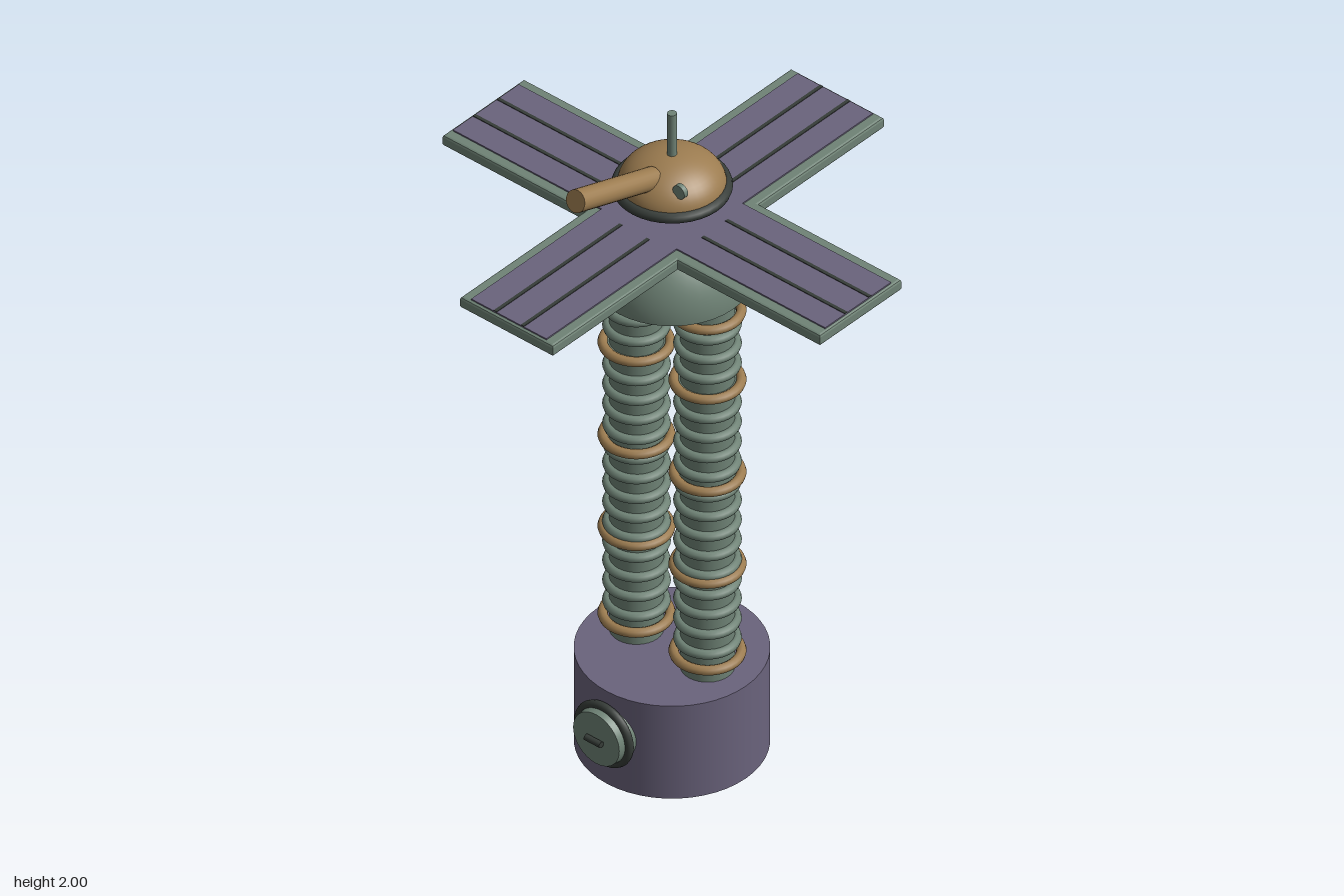
import * as THREE from 'three';

const mat = (name, color) => {
  const m = new THREE.MeshStandardMaterial({ color });
  m.name = name;
  return m;
};

export function createModel() {
  const green = mat('sage green', 0x6f8376);
  const purple = mat('dusty purple', 0x6a637c);
  const gold = mat('bronze', 0x9c7c50);
  const dark = mat('charcoal', 0x363c38);

  const model = new THREE.Group();
  model.name = 'solarTower';

  const add = (name, geo, material, x = 0, y = 0, z = 0, parent = model) => {
    const mesh = new THREE.Mesh(geo, material);
    mesh.name = name;
    mesh.position.set(x, y, z);
    parent.add(mesh);
    return mesh;
  };

  // Cylinder between two points
  const rod = (name, a, b, radius, material, parent = model) => {
    const from = new THREE.Vector3(...a), to = new THREE.Vector3(...b);
    const dir = to.clone().sub(from);
    const mesh = add(name, new THREE.CylinderGeometry(radius, radius, dir.length(), 20), material, 0, 0, 0, parent);
    mesh.position.copy(from).add(to).multiplyScalar(0.5);
    mesh.quaternion.setFromUnitVectors(new THREE.Vector3(0, 1, 0), dir.normalize());
    return mesh;
  };

  const ring = (name, radius, tube, material, x, y, z, parent = model) => {
    const geo = new THREE.TorusGeometry(radius, tube, 10, 36).rotateX(Math.PI / 2);
    return add(name, geo, material, x, y, z, parent);
  };

  // Plus-shaped outline with arm half-length l and half-width w
  const crossShape = (l, w) => new THREE.Shape(
    [[l, -w], [l, w], [w, w], [w, l], [-w, l], [-w, w], [-l, w], [-l, -w], [-w, -w], [-w, -l], [w, -l], [w, -w]]
      .map(([x, y]) => new THREE.Vector2(x, y)));

  // Base drum
  add('base', new THREE.CylinderGeometry(0.25, 0.25, 0.295, 48), purple, 0, 0.1475, 0);

  // Round hatch on the front of the base
  const hatch = new THREE.Group();
  hatch.name = 'hatch';
  hatch.position.set(0, 0.167, 0);
  model.add(hatch);
  add('hatchSeal', new THREE.TorusGeometry(0.085, 0.012, 10, 40), dark, 0, 0, 0.262, hatch);
  add('hatchDoor', new THREE.CylinderGeometry(0.078, 0.085, 0.06, 40).rotateX(Math.PI / 2), green, 0, 0, 0.262, hatch);
  rod('hatchHandle', [-0.026, 0, 0.302], [0.026, 0, 0.302], 0.009, dark, hatch);

  // Twin ribbed columns with a cable behind each
  for (const side of [1, -1]) {
    const x = 0.12 * side;
    const column = new THREE.Group();
    column.name = side > 0 ? 'leftColumn' : 'rightColumn';
    model.add(column);
    add('tube', new THREE.CylinderGeometry(0.07, 0.07, 1.2, 32), green, x, 0.885, 0, column);
    for (let i = 0; i < 17; i++) ring('rib', 0.074, 0.0135, green, x, 0.387 + i * 0.0627, 0, column);
    for (const y of [0.345, 0.622, 0.915, 1.21, 1.432]) ring('collar', 0.086, 0.0135, gold, x, y, 0, column);
    rod('cable', [x, 0.29, -0.092], [x, 1.48, -0.092], 0.012, dark, column);
  }

  // Supporting dome, closed underneath
  add('dome', new THREE.SphereGeometry(0.205, 40, 16, 0, Math.PI * 2, 0, Math.PI / 2), green, 0, 1.475, 0);
  add('domeFloor', new THREE.CircleGeometry(0.205, 40).rotateX(Math.PI / 2), green, 0, 1.475, 0);

  // Cross-shaped platform with inset panel
  const bevel = 0.007;
  const deck = new THREE.ExtrudeGeometry(crossShape(0.638, 0.157), {
    depth: 0.02, bevelEnabled: true, bevelThickness: bevel, bevelSize: bevel, bevelOffset: -bevel, bevelSegments: 2,
  }).rotateX(-Math.PI / 2);
  add('platform', deck, green, 0, 1.665 + bevel, 0);
  const panel = new THREE.ExtrudeGeometry(crossShape(0.629, 0.127), { depth: 0.006, bevelEnabled: false })
    .rotateX(-Math.PI / 2);
  add('panel', panel, purple, 0, 1.697, 0);

  // Panel seams and struts, repeated on each arm
  for (let i = 0; i < 4; i++) {
    const arm = new THREE.Group();
    arm.name = 'arm';
    arm.rotation.y = i * Math.PI / 2;
    model.add(arm);
    for (const z of [-0.046, 0.046]) {
      add('panelSeam', new THREE.BoxGeometry(0.485, 0.004, 0.01), dark, 0.3865, 1.703, z, arm);
    }
    rod('strut', [0.17, 1.514, 0], [0.45, 1.655, 0], 0.0125, green, arm);
  }

  // Mast through the turret
  rod('mast', [0, 1.68, 0], [0, 2, 0], 0.0125, green);

  // Turret cap
  const cap = new THREE.SphereGeometry(0.14, 40, 14, 0, Math.PI * 2, 0, Math.PI / 2).scale(1, 0.68, 1);
  add('turretCap', cap, gold, 0, 1.775, 0);
  add('turretFloor', new THREE.CircleGeometry(0.145, 40).rotateX(Math.PI / 2), gold, 0, 1.772, 0);
  ring('turretRim', 0.14, 0.0155, dark, 0, 1.772, 0);

  // Telescope barrel and side lens
  rod('barrel', [0, 1.835, 0.075], [0, 1.931, 0.372], 0.031, gold);
  rod('sideLens', [0.094, 1.84, 0.068], [0.094, 1.84, 0.082], 0.02, green);

  return model;
}
